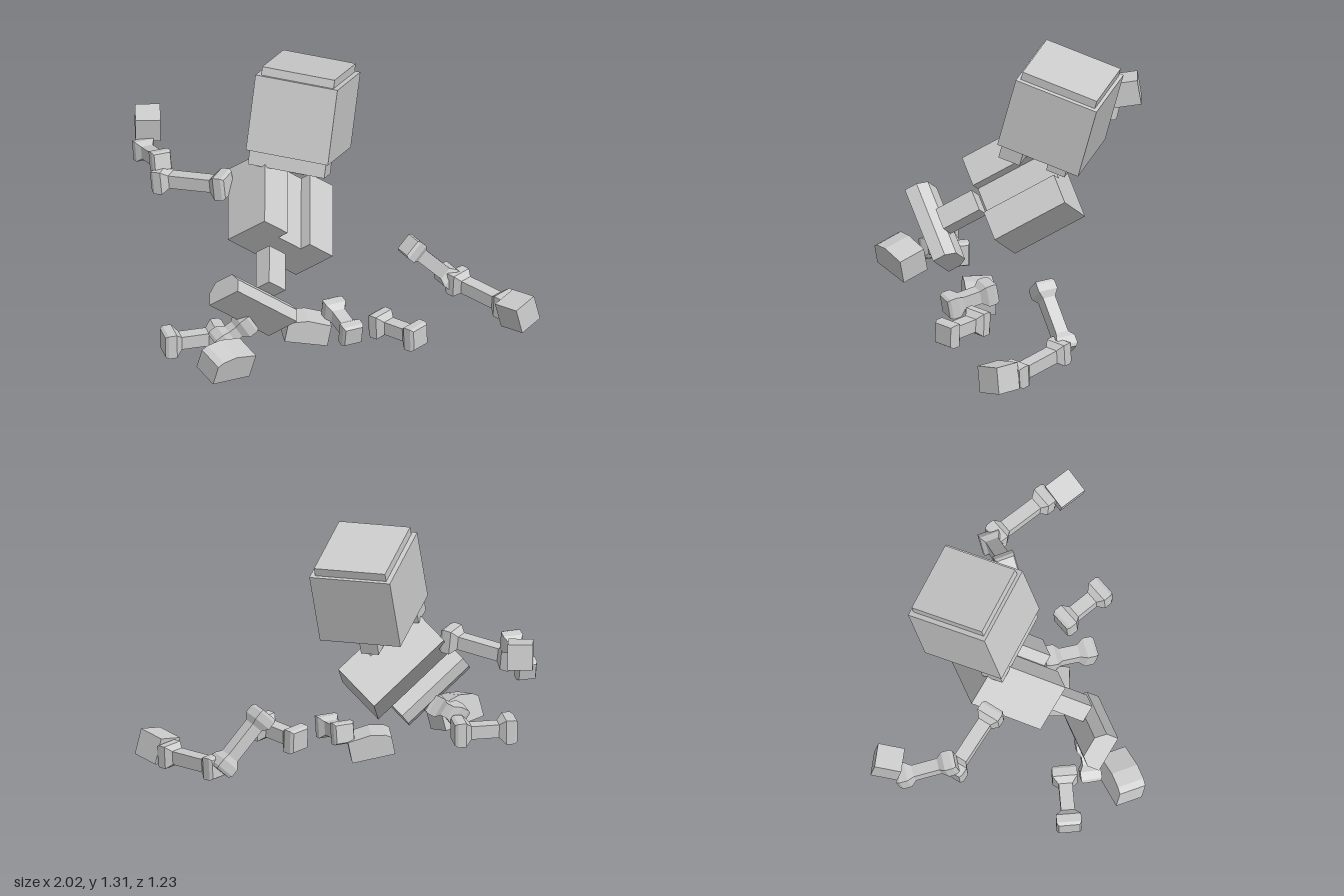
import * as THREE from 'three';

const material = new THREE.MeshStandardMaterial({ color: 0xcccccc, flatShading: true });
const V = (a) => new THREE.Vector3(...a);

// Sets position and orientation from a sideways and an upward direction
function place(object, position, xDir, yDir) {
  const x = V(xDir).normalize();
  const z = x.clone().cross(V(yDir)).normalize();
  const y = z.clone().cross(x);
  object.quaternion.setFromRotationMatrix(new THREE.Matrix4().makeBasis(x, y, z));
  object.position.set(...position);
  return object;
}

function part(name, geometry) {
  const mesh = new THREE.Mesh(geometry, material);
  mesh.name = name;
  return mesh;
}

function block(name, size, position = [0, 0, 0]) {
  const mesh = part(name, new THREE.BoxGeometry(...size));
  mesh.position.set(...position);
  return mesh;
}

// Prism with its depth centred on the origin
function prism(points, depth) {
  const shape = new THREE.Shape(points.map(([x, y]) => new THREE.Vector2(x, y)));
  return new THREE.ExtrudeGeometry(shape, { depth, bevelEnabled: false }).translate(0, 0, -depth / 2);
}

// Square bone with a flared knob at each end
function bone(name, from, to, knob = 0.055, shaft = 0.033) {
  const a = V(from);
  const dir = V(to).sub(a);
  const length = dir.length();
  const half = [[0, 0], [knob * 0.85, 0], [knob, 0.015], [knob, 0.055], [shaft, 0.085]];
  const profile = [...half, ...half.map(([r, y]) => [r, length - y]).reverse()]
    .map(([r, y]) => new THREE.Vector2(r * Math.SQRT2, y));
  const geometry = new THREE.LatheGeometry(profile, 4).rotateY(Math.PI / 4);
  const side = dir.clone().cross(new THREE.Vector3(0, 1, 0));
  return place(part(name, geometry), from, side.toArray(), dir.toArray());
}

// Foot with a sloped instep, toes towards local +z
function foot(name, length, width, height) {
  const l = length / 2, h = height / 2;
  const profile = [[-l, -h], [l, -h], [l, h * 0.45], [l * 0.75, h * 0.75], [l * 0.1, h], [-l, h * 0.8]];
  return part(name, prism(profile, width).rotateY(-Math.PI / 2));
}

export function createModel() {
  const model = new THREE.Group();
  model.name = 'collapsedSkeleton';

  // Skull, crown plate, jaw and neck share one tilted frame
  const head = new THREE.Group();
  head.name = 'head';
  head.add(
    block('skull', [0.408, 0.372, 0.419]),
    block('crownPlate', [0.36, 0.042, 0.385], [0, 0.207, 0]),
    block('jaw', [0.38, 0.072, 0.11], [0, -0.222, 0.135]),
    block('neck', [0.09, 0.13, 0.095], [0, -0.25, -0.07]),
  );
  model.add(place(head, [-0.144, 1.039, -0.346], [0.406, -0.021, 0.028], [0.021, 0.358, -0.098]));

  // Trunk frame: sideways and spine directions
  const side = [0.28, -0.28, -0.233];
  const up = [-0.07, 0.2, -0.33];

  // Rib cage with an open channel down the chest
  const w = 0.23, f = 0.124, groove = 0.075, floor = f - 0.06;
  const chest = [[-w, f], [w, f], [w, -f], [groove, -f], [groove, -floor],
    [-groove, -floor], [-groove, -f], [-w, -f]];
  const ribCage = part('ribCage', prism(chest, 0.39).rotateX(-Math.PI / 2));
  model.add(place(ribCage, [-0.21, 0.585, -0.147], side, up));

  model.add(place(block('spine', [0.11, 0.2, 0.09]), [-0.19, 0.43, 0.155], side, up));

  // Pelvis with bevelled upper edges
  const hips = [[-0.095, -0.055], [0.095, -0.055], [0.095, 0.01], [0.055, 0.055], [-0.055, 0.055], [-0.095, 0.01]];
  const pelvis = part('pelvis', prism(hips, 0.4).rotateY(Math.PI / 2));
  model.add(place(pelvis, [-0.245, 0.32, 0.29], side, up));

  // Arm bones
  model.add(
    bone('rightUpperArm', [-0.455, 0.725, -0.11], [-0.83, 0.685, -0.18], 0.058),
    bone('rightForearm', [-0.79, 0.78, -0.17], [-0.95, 0.71, -0.41], 0.048, 0.03),
    bone('leftUpperArm', [0.36, 0.355, -0.38], [0.54, 0.1, -0.55], 0.05),
    bone('leftForearm', [0.54, 0.11, -0.54], [0.86, 0.085, -0.37]),
  );

  // Hands
  model.add(
    place(block('rightHand', [0.12, 0.125, 0.13]), [-0.93, 0.82, -0.465], [1, 0, -0.25], [0.05, 1, 0.15]),
    place(block('leftHand', [0.14, 0.13, 0.13]), [0.91, 0.095, -0.315], [0.85, 0.1, 0.5], [-0.1, 1, 0.2]),
  );

  // Leg bones, scattered on the floor
  model.add(
    bone('rightThigh', [-0.26, 0.23, 0.275], [-0.41, 0.12, 0.37], 0.05),
    bone('rightShin', [-0.67, 0.097, 0.365], [-0.4, 0.1, 0.225], 0.06),
    bone('leftThigh', [0.05, 0.155, -0.07], [0.21, 0.11, 0.13], 0.052),
    bone('leftShin', [0.27, 0.095, -0.07], [0.52, 0.105, 0.06], 0.058),
  );

  // Feet
  model.add(
    place(foot('rightFoot', 0.22, 0.14, 0.14), [-0.33, 0.11, 0.49], [0.7, -0.25, 0.63], [0.3, 0.9, 0.1]),
    place(foot('leftFoot', 0.21, 0.14, 0.12), [-0.045, 0.085, 0.03], [0.35, 0, 0.9], [0.2, 0.95, 0]),
  );

  return model;
}
